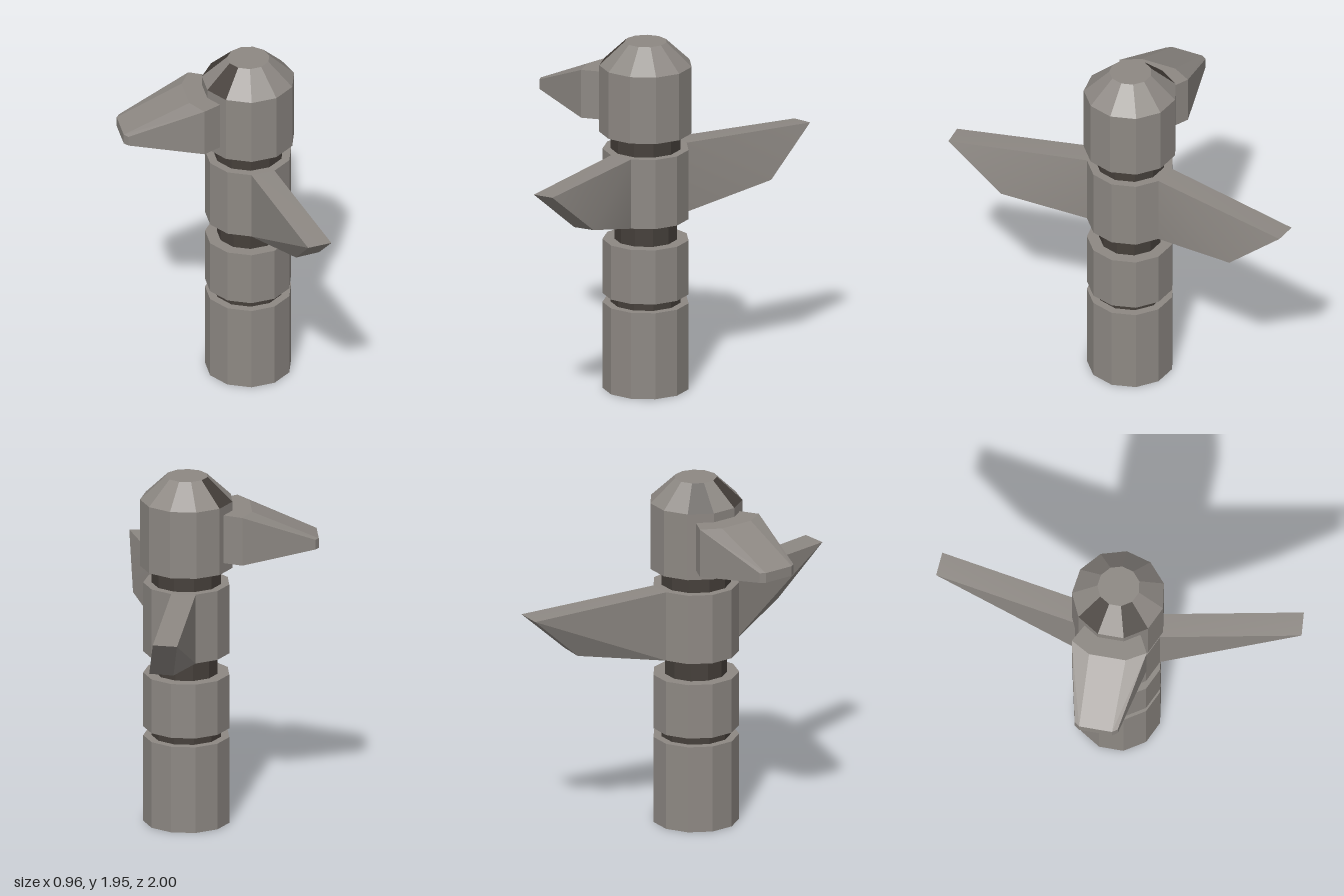
import * as THREE from 'three';
import { ConvexGeometry } from 'three/addons/geometries/ConvexGeometry.js';
import { toCreasedNormals } from 'three/addons/utils/BufferGeometryUtils.js';

const CX = 0.227, CZ = 0.02, SIDES = 11, STEP = (2 * Math.PI) / SIDES;

export function createModel() {
  const group = new THREE.Group();
  const wood = new THREE.MeshStandardMaterial({ color: 0x8d8883, flatShading: true });
  const dark = new THREE.MeshStandardMaterial({ color: 0x453f3a, flatShading: true });
  const wingWood = new THREE.MeshStandardMaterial({ color: 0x8d8883 });

  const add = (name, geometry, material, y = null) => {
    const mesh = new THREE.Mesh(geometry, material);
    mesh.name = name;
    if (y !== null) mesh.position.set(CX, y, CZ);
    group.add(mesh);
    return mesh;
  };
  // Solid faceted shape from its corner points
  const hull = (points) => new ConvexGeometry(points.map((p) => new THREE.Vector3(...p)));

  // Stacked column: name, radius, bottom y, top y, material
  const drums = [
    ['base', 0.235, 0, 0.485, wood],
    ['lowerGroove', 0.19, 0.485, 0.535, dark],
    ['middleDrum', 0.235, 0.535, 0.84, wood],
    ['middleGroove', 0.17, 0.84, 0.96, dark],
    ['wingDrum', 0.235, 0.96, 1.35, wood],
    ['neck', 0.19, 1.35, 1.445, dark],
    ['head', 0.252, 1.445, 1.82, wood],
  ];
  for (const [name, r, y0, y1, material] of drums) {
    const geometry = new THREE.CylinderGeometry(r, r, y1 - y0, SIDES, 1, false, Math.PI / 2);
    add(name, geometry, material, (y0 + y1) / 2);
  }

  // Crown: sloped panels with a dark eye on each side of the beak; first panel, count
  const crown = [
    ['crownBack', 7, 8, wood],
    ['crownBrow', 5, 1, wood],
    ['eyeFront', 4, 1, dark],
    ['eyeBack', 6, 1, dark],
  ];
  for (const [name, first, count, material] of crown) {
    const geometry = new THREE.CylinderGeometry(
      0.115, 0.252, 0.13, count, 1, true, Math.PI / 2 + first * STEP, count * STEP);
    add(name, geometry, material, 1.885);
  }
  add('crownTop', new THREE.CircleGeometry(0.115, SIDES).rotateX(-Math.PI / 2), wood, 1.95);

  // Wings: each grows from one face of the wing drum to a knee and a sharp tip
  const rootCorner = (k, side) => [
    CX + 0.235 * Math.cos(k * STEP),
    CZ + side * 0.235 * Math.sin(k * STEP),
  ];
  const wing = (name, side, kneeZ, kneeY, tipY) => {
    const points = [];
    for (const [k, x, dz, dy] of [[3, 0.345, 0, 0], [2, 0.475, -0.015, 0.008]]) {
      const [rx, rz] = rootCorner(k, side);
      points.push(
        [rx, 0.96, rz], [rx, 1.35, rz],
        [x, kneeY + dy, side * (kneeZ + dz)],
        [x, tipY + dy, side * (1 + dz * 0.7)],
      );
    }
    add(name, toCreasedNormals(hull(points), 0.35), wingWood);
  };
  wing('wingFront', 1, 0.69, 1.075, 1.327);
  wing('wingBack', -1, 0.705, 1.055, 1.313);

  // Beak: plan outline x, half width, low y, high y, mirrored across the column axis
  const beak = [];
  for (const [x, w, y0, y1] of [
    [0.1, 0.12, 1.5, 1.77],
    [-0.06, 0.205, 1.5, 1.77],
    [-0.12, 0.1, 1.5, 1.77],
    [-0.46, 0.118, 1.555, 1.61],
    [-0.48, 0.09, 1.555, 1.61],
  ]) {
    for (const s of [-1, 1]) beak.push([x, y0, CZ + s * w], [x, y1, CZ + s * w]);
  }
  add('beak', hull(beak), wood);

  return group;
}
